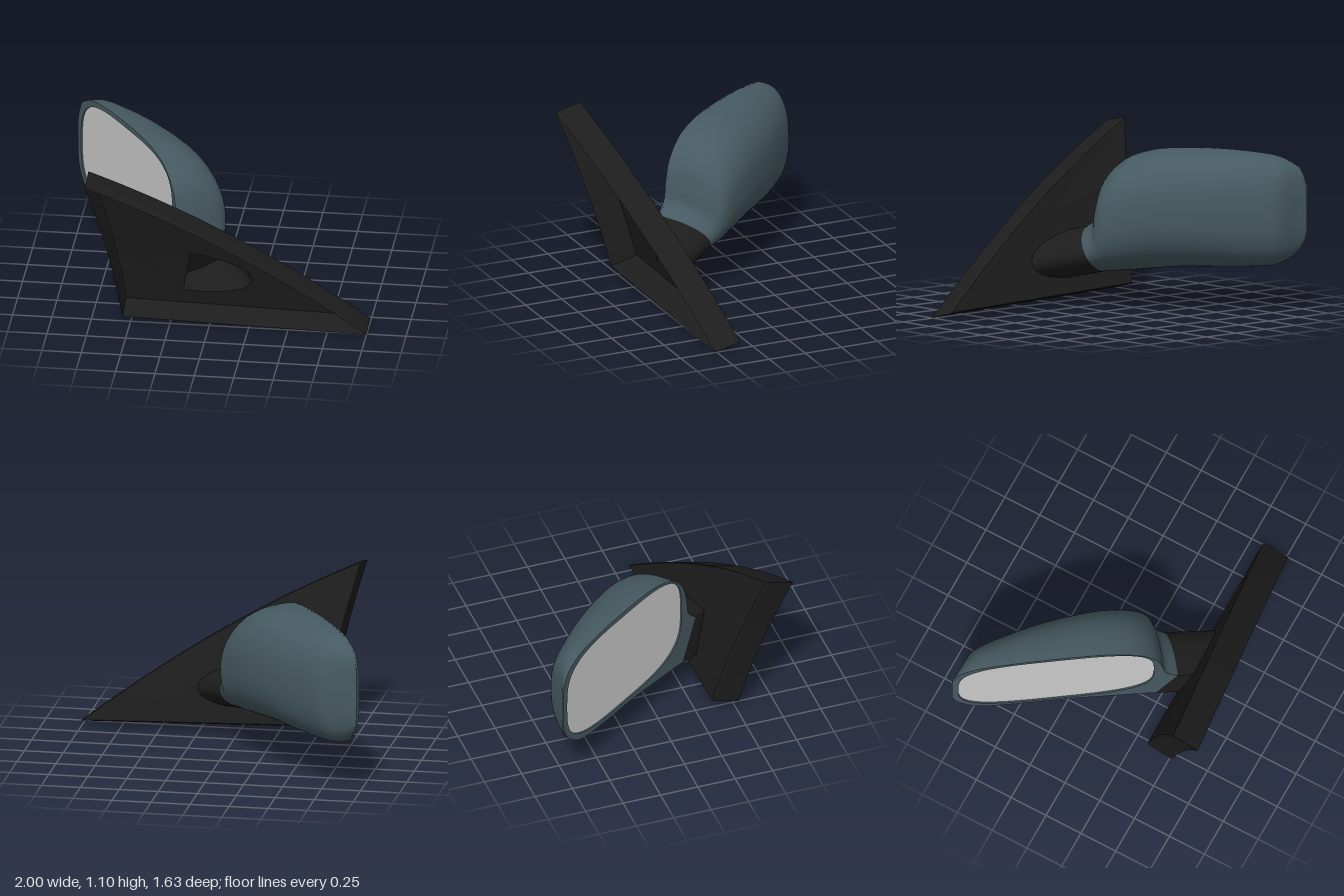
import * as THREE from 'three';
import { mergeVertices, toCreasedNormals } from 'three/addons/utils/BufferGeometryUtils.js';

const paint = (color) => new THREE.MeshStandardMaterial({ color, side: THREE.DoubleSide });

// Mirror frame: u runs along the glass, w is depth behind the glass plane
const toWorld = (u, y, w) =>
  new THREE.Vector3(-1 + 0.571 * u + 0.821 * w, y, -0.81 + 0.821 * u - 0.571 * w);

// Skin a list of rings that all have the same number of points
function loft(rings, closed, capStart = false) {
  const n = rings[0].length;
  const pts = rings.flat();
  const index = [];
  for (let i = 0; i < rings.length - 1; i++) {
    for (let j = 0; j < (closed ? n : n - 1); j++) {
      const a = i * n + j, b = i * n + ((j + 1) % n);
      index.push(a, b, a + n, b, b + n, a + n);
    }
  }
  if (capStart) {
    const centre = new THREE.Vector3();
    rings[0].forEach((p) => centre.addScaledVector(p, 1 / n));
    pts.push(centre);
    for (let j = 0; j < n; j++) index.push(pts.length - 1, (j + 1) % n, j);
  }
  const g = new THREE.BufferGeometry().setFromPoints(pts);
  g.setIndex(index);
  g.computeVertexNormals();
  return g;
}

// Move every vertex of a geometry by a rule
function remap(g, rule) {
  const p = g.attributes.position;
  for (let i = 0; i < p.count; i++) {
    const v = rule(p.getX(i), p.getY(i), p.getZ(i));
    p.setXYZ(i, v.x, v.y, v.z);
  }
  g.computeVertexNormals();
  return g;
}

// Housing sections: bottom u, bottom y, top u, top y, depth
const SECTIONS = [
  [0, 0.52, 0, 0.78, 0.004],
  [0.012, 0.46, 0.012, 0.82, 0.02],
  [0.05, 0.39, 0.05, 0.9, 0.075],
  [0.137, 0.315, 0.137, 0.955, 0.195],
  [0.21, 0.285, 0.21, 0.98, 0.235],
  [0.38, 0.268, 0.38, 1.0, 0.29],
  [0.56, 0.264, 0.56, 1.01, 0.338],
  [0.8, 0.258, 0.8, 1.008, 0.38],
  [0.99, 0.24, 0.99, 0.99, 0.402],
  [1.09, 0.23, 1.17, 0.93, 0.405],
  [1.16, 0.225, 1.29, 0.81, 0.4],
  [1.21, 0.22, 1.335, 0.67, 0.38],
  [1.25, 0.215, 1.355, 0.56, 0.36],
  [1.29, 0.21, 1.43, 0.485, 0.345],
];
const bottomCurve = new THREE.CatmullRomCurve3(SECTIONS.map((s) => new THREE.Vector3(s[0], s[1], s[4])));
const topCurve = new THREE.CatmullRomCurve3(SECTIONS.map((s) => new THREE.Vector3(s[2], s[3], 0)));

// Half super-ellipse from the bottom rim point round the back to the top rim point
function sectionRing(t, steps = 32) {
  const b = bottomCurve.getPoint(t), c = topCurve.getPoint(t);
  const power = 0.82 + 0.18 * THREE.MathUtils.smoothstep(t, 0.75, 1);
  const ring = [];
  for (let j = 0; j <= steps; j++) {
    const a = (j / steps - 0.5) * Math.PI;
    const s = Math.sign(Math.sin(a)) * Math.abs(Math.sin(a)) ** power;
    const k = (s + 1) / 2;
    const w = b.z * Math.max(0, Math.cos(a)) ** power;
    ring.push(toWorld(b.x + (c.x - b.x) * k, b.y + (c.y - b.y) * k, w));
  }
  return ring;
}

// Rounded outline of the glass
function glassPoints(scale = 1) {
  const pts = [];
  const p = 2 / 3.4;
  for (let i = 0; i < 64; i++) {
    const a = (i / 64) * Math.PI * 2, c = Math.cos(a), s = Math.sin(a);
    pts.push(new THREE.Vector2(
      0.66 + 0.62 * scale * Math.sign(c) * Math.abs(c) ** p,
      0.635 + 0.342 * scale * Math.sign(s) * Math.abs(s) ** p));
  }
  return pts;
}

// Depth of the mounting plate as a gentle curve over its height
const plateZ = (y) => 0.51 + 0.233 * y + 0.053 * y * y;
const trayPoint = (x, y, back) => new THREE.Vector3(x, y + 0.045 * back, plateZ(y) - 0.175 * back);

export function createModel() {
  const model = new THREE.Group();
  const teal = paint(0x465a61), black = paint(0x1d1d1d), grey = paint(0xcccccc);
  const add = (name, geometry, material) => {
    const mesh = new THREE.Mesh(geometry, material);
    mesh.name = name;
    model.add(mesh);
  };

  // Housing shell
  const N = 72;
  const rings = [];
  for (let i = 0; i <= N; i++) rings.push(sectionRing(i / N));
  add('housingShell', loft(rings, false), teal);

  // Rim around the glass, following the open edge of the shell
  const low = bottomCurve.getPoints(N).map((p) => new THREE.Vector2(p.x, p.y));
  const high = topCurve.getPoints(N).map((p) => new THREE.Vector2(p.x, p.y));
  const rimShape = new THREE.Shape([...low, ...high.reverse()]);
  rimShape.holes.push(new THREE.Path(glassPoints()));
  const rim = new THREE.ExtrudeGeometry(rimShape, { depth: 0.012, bevelEnabled: false });
  add('housingRim', remap(rim, (u, y, z) => toWorld(u, y, 0.012 - z)), teal);

  // Mirror glass, slightly recessed
  const glass = new THREE.ShapeGeometry(new THREE.Shape(glassPoints(1.005)));
  add('mirrorGlass', remap(glass, (u, y) => toWorld(u, y, 0.01)), grey);

  // Hollow neck running from the housing seam to the plate
  const seam = sectionRing(1);
  const foot = seam.map((p) => {
    const s = (0.324 + 0.253 * p.y - p.z) / 0.872;
    return new THREE.Vector3(p.x + 0.571 * s, p.y - 0.2 * s, p.z + 0.821 * s);
  });
  add('neck', toCreasedNormals(loft([seam, foot], true, true), 0.7), black);

  // Plate outline: three corners, two bowed edges
  const A = new THREE.Vector2(-0.75, 1.055), B = new THREE.Vector2(-0.55, 0.04), C = new THREE.Vector2(1, 0);
  const edges = [
    new THREE.QuadraticBezierCurve(A, new THREE.Vector2(-0.61, 0.55), B),
    new THREE.LineCurve(B, C),
    new THREE.QuadraticBezierCurve(C, new THREE.Vector2(0.125, 0.68), A),
  ];
  const outline = edges.flatMap((e) => e.getPoints(14).slice(0, -1)).reverse();
  const inset = outline.map((p) => new THREE.Vector2(-0.1 + (p.x + 0.1) * 0.985, 0.366 + (p.y - 0.366) * 0.985));

  // Plate side walls with a softened back edge
  const walls = loft([
    outline.map((p) => trayPoint(p.x, p.y, 0)),
    outline.map((p) => trayPoint(p.x, p.y, 0.94)),
    inset.map((p) => trayPoint(p.x, p.y, 1)),
  ], true);
  add('plateWalls', toCreasedNormals(walls, 0.5), black);

  // Plate floor with the opening for the neck
  const floorShape = new THREE.Shape(inset);
  floorShape.holes.push(new THREE.Path(foot.map((p) => new THREE.Vector2(p.x, p.y - 0.045))));
  const floor = remap(new THREE.ShapeGeometry(floorShape), (x, y) => trayPoint(x, y, 1));
  floor.deleteAttribute('uv');
  add('plateFloor', mergeVertices(floor), black);

  return model;
}
